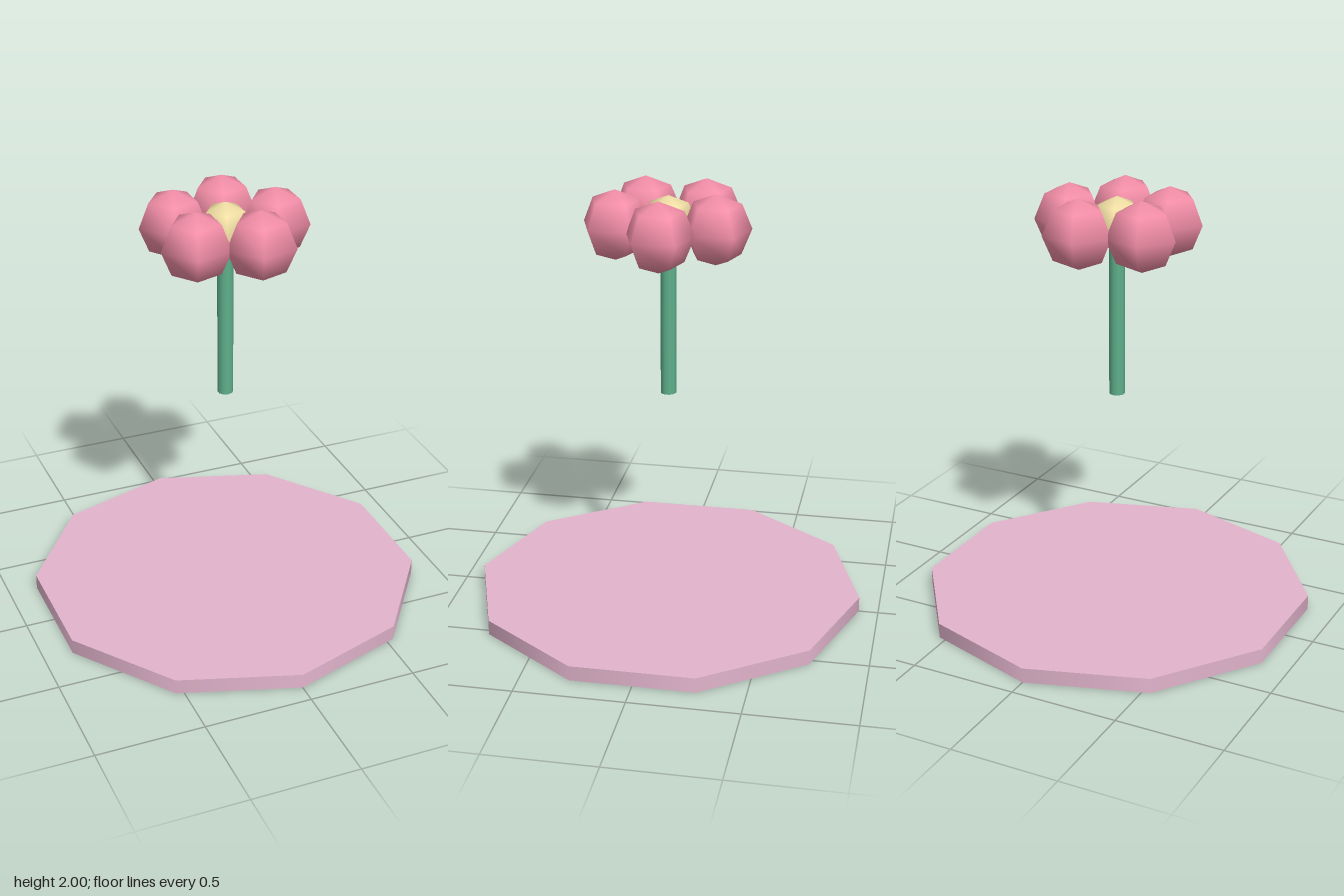
import * as THREE from 'three';

const FLOWER_Y = 1.84;

function part(name, geometry, color, x, y, z) {
  const mesh = new THREE.Mesh(geometry, new THREE.MeshStandardMaterial({ color }));
  mesh.name = name;
  mesh.position.set(x, y, z);
  return mesh;
}

export function createModel() {
  const model = new THREE.Group();
  model.name = 'flower';

  // Ten-sided ground disc
  model.add(part('base', new THREE.CylinderGeometry(0.91, 0.91, 0.07, 10), 0xe3b5cd, 0, 0.035, 0));

  // Stem, floating above the disc and ending inside the flower centre
  const bottom = 1.04;
  const height = FLOWER_Y - bottom;
  model.add(part('stem', new THREE.CylinderGeometry(0.036, 0.036, height, 10), 0x5fb08c, 0, bottom + height / 2, 0));

  // Flower head: a low-poly centre ringed by five petals, all facing the same way
  const head = new THREE.Group();
  head.name = 'flowerHead';
  head.position.y = FLOWER_Y;
  head.add(part('flowerCentre', new THREE.SphereGeometry(0.126, 5, 4), 0xf2e0a5, 0, 0, 0));

  const petalGeometry = new THREE.SphereGeometry(0.16, 5, 4);
  const ring = 0.236;
  for (let i = 0; i < 5; i++) {
    const a = (i / 5) * Math.PI * 2;
    head.add(part(`petal${i + 1}`, petalGeometry, 0xf48fa8, Math.cos(a) * ring, 0, Math.sin(a) * ring));
  }
  model.add(head);

  return model;
}
